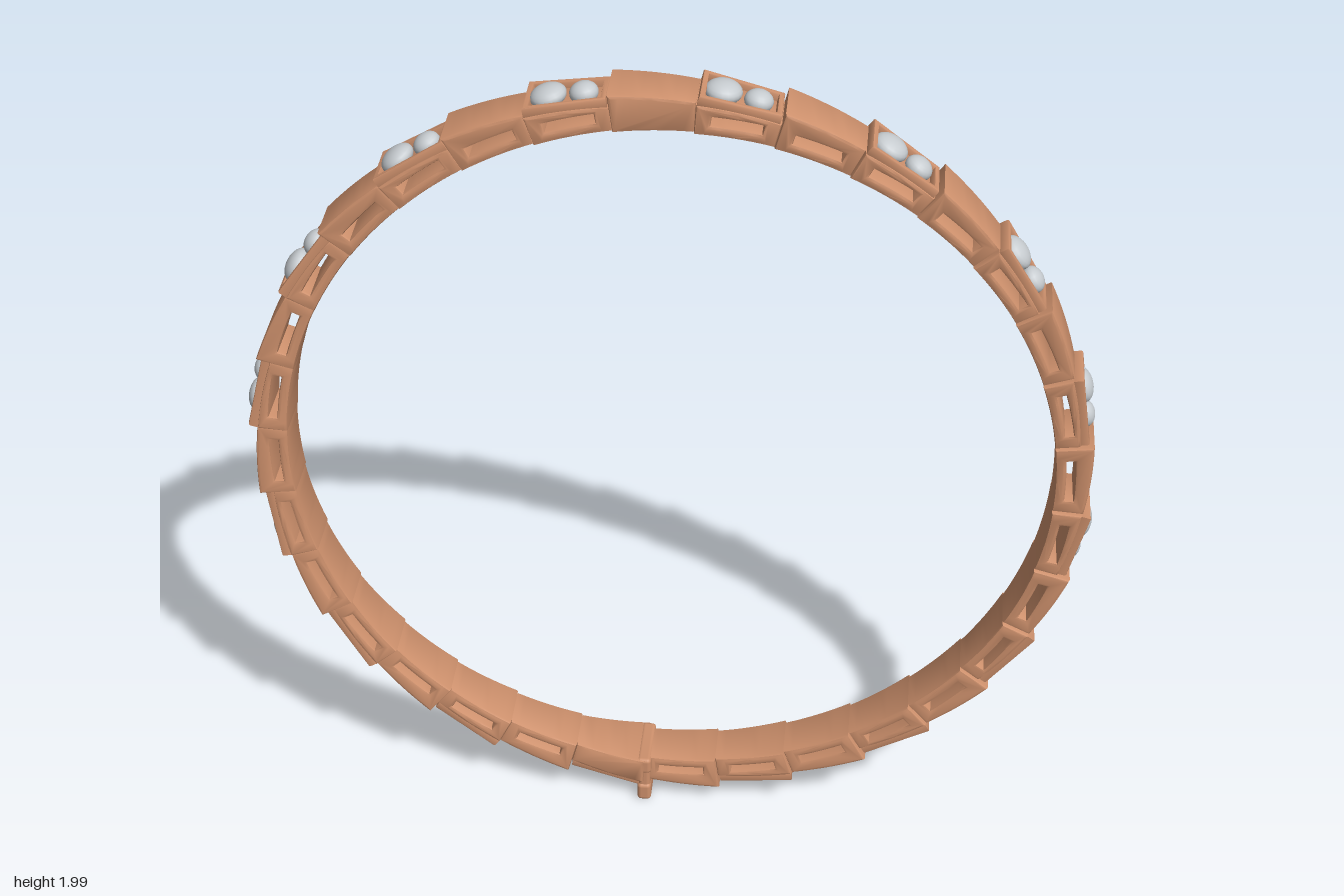
import * as THREE from 'three';
import { toCreasedNormals } from 'three/addons/utils/BufferGeometryUtils.js';
import { RoundedBoxGeometry } from 'three/addons/geometries/RoundedBoxGeometry.js';

const COUNT = 32;
const STEP = (Math.PI * 2) / COUNT;
const FIRST = THREE.MathUtils.degToRad(-2); // clockwise from the top
const INNER = 0.883;
const lerp = THREE.MathUtils.lerp;

// Point on an arc, with the link centred at the top of the ring
const polar = (r, a) => new THREE.Vector2(r * Math.sin(a), r * Math.cos(a));

// One curved link: thicker and wider at its leading end
function linkGeometry({ outer, width, slot }) {
  const n = 8, h = STEP / 2, bevel = 0.007;
  const pts = [];
  for (let i = 0; i <= n; i++) pts.push(polar(INNER, lerp(-h, h, i / n)));
  for (let i = n; i >= 0; i--) pts.push(polar(lerp(outer[0], outer[1], i / n), lerp(-h, h, i / n)));
  const shape = new THREE.Shape(pts);
  if (slot) {
    const hole = [], s = 0.061;
    for (let i = 0; i <= 6; i++) hole.push(polar(0.927, lerp(-s, s, i / 6)));
    for (let i = 6; i >= 0; i--) hole.push(polar(0.907, lerp(-s, s, i / 6)));
    shape.holes.push(new THREE.Path(hole));
  }
  const depth = 0.12;
  const geo = new THREE.ExtrudeGeometry(shape, {
    depth: depth - 2 * bevel, bevelEnabled: true, bevelThickness: bevel,
    bevelSize: bevel, bevelOffset: -bevel, bevelSegments: 2,
  });
  geo.translate(0, 0, bevel - depth / 2);
  // Taper the width along the link
  const p = geo.attributes.position;
  for (let i = 0; i < p.count; i++) {
    const t = Math.atan2(p.getX(i), p.getY(i)) / STEP + 0.5;
    p.setZ(i, (p.getZ(i) / (depth / 2)) * lerp(width[0], width[1], t));
  }
  return toCreasedNormals(geo, 0.6);
}

// Raised rim around a pair of stones
function rimGeometry() {
  const outline = (inset) => [
    new THREE.Vector2(-0.092 + inset, -0.062 + inset),
    new THREE.Vector2(0.088 - inset, -0.052 + inset),
    new THREE.Vector2(0.088 - inset, 0.052 - inset),
    new THREE.Vector2(-0.092 + inset, 0.062 - inset),
  ];
  const shape = new THREE.Shape(outline(0));
  shape.holes.push(new THREE.Path(outline(0.013)));
  const geo = new THREE.ExtrudeGeometry(shape, {
    depth: 0.02, bevelEnabled: true, bevelThickness: 0.004,
    bevelSize: 0.004, bevelOffset: -0.004, bevelSegments: 2,
  });
  geo.rotateX(-Math.PI / 2);
  return toCreasedNormals(geo, 0.6);
}

export function createModel() {
  const copper = new THREE.MeshStandardMaterial({ color: 0xcd906c });
  copper.name = 'copper';
  const silver = new THREE.MeshStandardMaterial({ color: 0xc6cbcf });
  silver.name = 'silver stone';

  const model = new THREE.Group();
  model.name = 'bracelet';
  const ring = new THREE.Group();
  ring.name = 'ring';
  ring.position.set(-0.003, 1.013, 0);
  model.add(ring);

  const add = (parent, name, geo, mat) => {
    const mesh = new THREE.Mesh(geo, mat);
    mesh.name = name;
    parent.add(mesh);
    return mesh;
  };

  const plain = { outer: [0.971, 0.955], width: [0.064, 0.057] };
  const set = { outer: [0.953, 0.94], width: [0.066, 0.056] };
  const plainGeo = linkGeometry({ ...plain, slot: true });
  const topGeo = linkGeometry({ ...plain, slot: false });
  const setGeo = linkGeometry({ ...set, slot: true });
  const claspGeo = linkGeometry({ ...set, width: [0.078, 0.058], slot: false });
  const rimGeo = rimGeometry();
  const stoneGeo = new THREE.SphereGeometry(1, 20, 12);

  for (let i = 0; i < COUNT; i++) {
    const link = new THREE.Group();
    link.rotation.z = -(FIRST + i * STEP);
    ring.add(link);
    if (i % 2 === 0) {
      link.name = 'plainLink';
      add(link, 'plainBody', i === 0 ? topGeo : plainGeo, copper);
      continue;
    }
    // Stone link: body, rim, one large and one small stone
    link.name = 'stoneLink';
    add(link, 'stoneBody', i === 17 ? claspGeo : setGeo, copper);
    const rim = add(link, 'stoneRim', rimGeo, copper);
    rim.position.y = 0.939;
    rim.rotation.z = -0.08;
    [['largeStone', -0.041, 0.041, 0.96], ['smallStone', 0.036, 0.032, 0.953]].forEach(([name, x, r, y]) => {
      const stone = add(link, name, stoneGeo, silver);
      stone.position.set(x, y, 0);
      stone.scale.set(r, 0.024, r);
      stone.rotation.z = -x;
    });
  }

  // Clasp: upright plate across the band, with a foot and a collar
  const clasp = new THREE.Group();
  clasp.name = 'clasp';
  clasp.position.x = -0.062;
  model.add(clasp);
  const box = (name, w, h, d, y) => {
    add(clasp, name, new RoundedBoxGeometry(w, h, d, 3, 0.01), copper).position.y = y;
  };
  box('claspPlate', 0.03, 0.134, 0.132, 0.067);
  box('claspFoot', 0.034, 0.05, 0.142, 0.025);
  box('claspCollar', 0.036, 0.045, 0.148, 0.112);
  return model;
}
